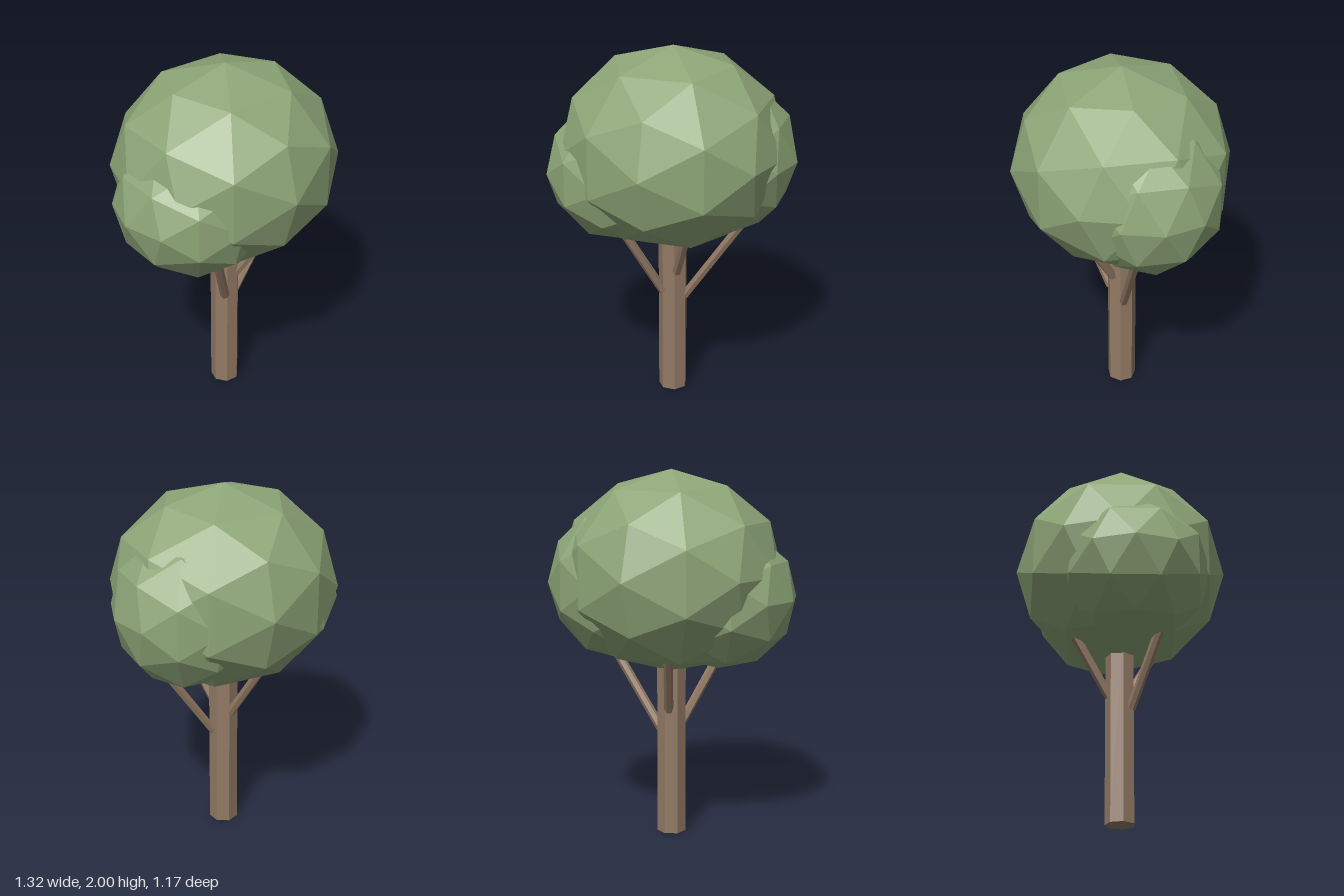
import * as THREE from 'three';

export function createModel() {
  const tree = new THREE.Group();
  tree.name = 'tree';

  const leaf = new THREE.MeshStandardMaterial({ color: 0x8ea678, flatShading: true });
  leaf.name = 'leaf green';
  const bark = new THREE.MeshStandardMaterial({ color: 0x937a65, flatShading: true });
  bark.name = 'bark brown';

  function add(name, geometry, material) {
    const mesh = new THREE.Mesh(geometry, material);
    mesh.name = name;
    tree.add(mesh);
    return mesh;
  }

  // Foliage: one large faceted ball with two smaller ones bulging from its sides
  const foliage = [
    ['mainCrown', [0.008, 1.455, 0], [0.61, 0.545, 0.583]],
    ['rightCrown', [-0.245, 1.325, 0.065], [0.42, 0.39, 0.418]],
    ['leftCrown', [0.248, 1.4, -0.095], [0.41, 0.43, 0.4]],
  ];
  for (const [name, centre, radii] of foliage) {
    const ball = add(name, new THREE.IcosahedronGeometry(1, 1), leaf);
    ball.position.set(...centre);
    ball.scale.set(...radii);
  }

  // Seven-sided trunk
  const trunk = new THREE.CylinderGeometry(0.08, 0.08, 1.1, 7, 1, false, THREE.MathUtils.degToRad(24));
  add('trunk', trunk, bark).position.set(0.007, 0.55, 0);

  // Branches run from the trunk's surface up into the foliage
  const up = new THREE.Vector3(0, 1, 0);
  const branches = [
    ['leftBranch', [0.07, 0.575, 0], [0.42, 1.1, 0]],
    ['rightBranch', [-0.035, 0.62, 0.055], [-0.225, 1.06, 0.225]],
    ['frontBranch', [0.045, 0.745, 0.055], [0.15, 1.05, 0.21]],
    ['backBranch', [-0.005, 0.7, -0.06], [-0.1, 1.06, -0.27]],
  ];
  for (const [name, from, to] of branches) {
    const a = new THREE.Vector3(...from);
    const b = new THREE.Vector3(...to);
    const branch = add(name, new THREE.CylinderGeometry(0.025, 0.025, a.distanceTo(b), 6), bark);
    branch.position.copy(a).add(b).multiplyScalar(0.5);
    branch.quaternion.setFromUnitVectors(up, b.sub(a).normalize());
  }

  return tree;
}
